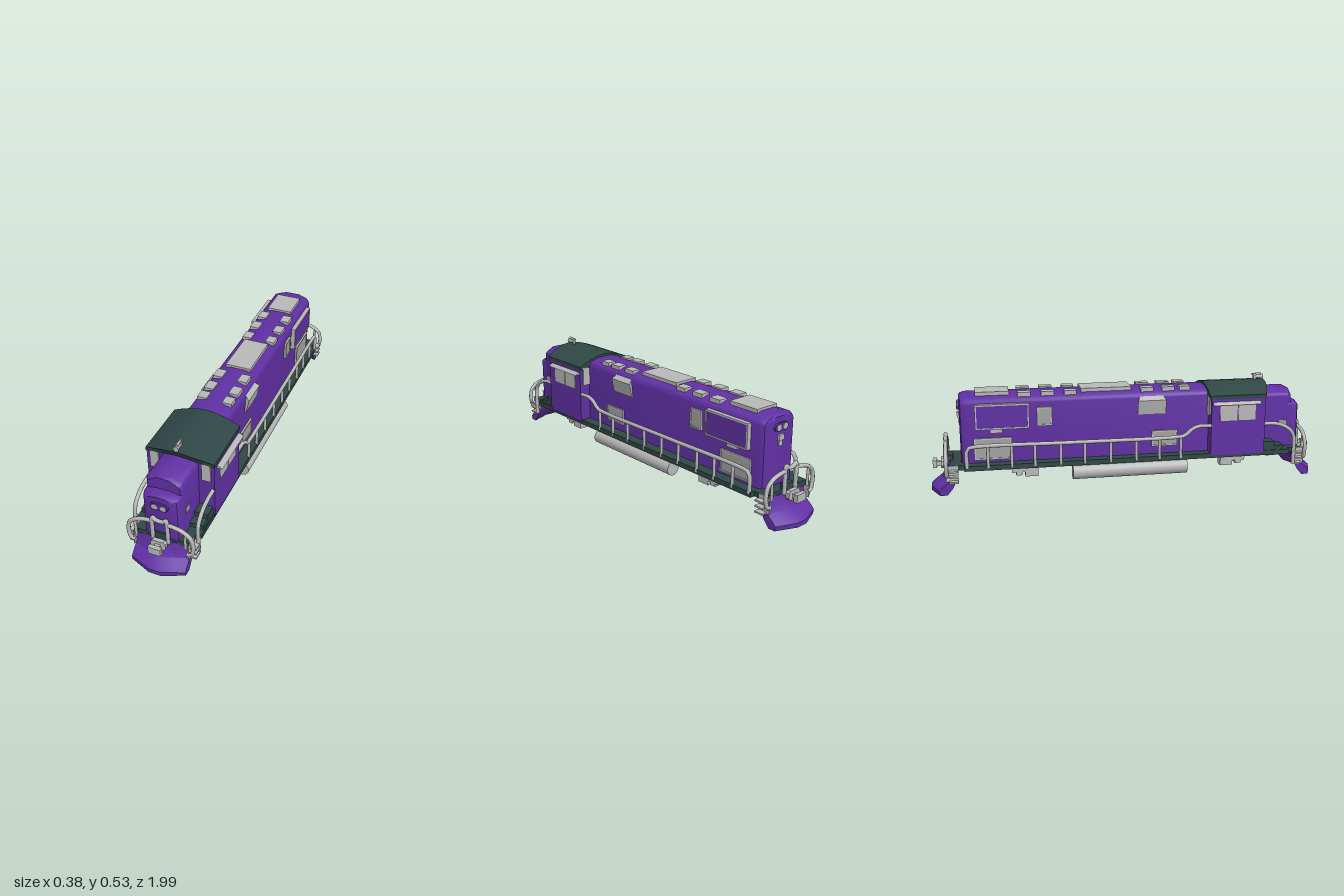
import * as THREE from 'three';
import { toCreasedNormals } from 'three/addons/utils/BufferGeometryUtils.js';

const mat = (name, color) => Object.assign(new THREE.MeshStandardMaterial({ color }), { name });

export function createModel() {
  const purple = mat('purple paint', 0x6030a4);
  const dark = mat('dark green paint', 0x2f4745);
  const grey = mat('light grey metal', 0xb8b8b8);
  const mesh = mat('grille grey', 0xa2a2a2);
  const root = new THREE.Group();

  const add = (name, geo, m, parent = root) => {
    const o = new THREE.Mesh(geo, m);
    o.name = name;
    parent.add(o);
    return o;
  };
  // Box given by its minimum and maximum on each axis
  const box = (name, x0, x1, y0, y1, z0, z1, m, parent = root) => {
    const g = new THREE.BoxGeometry(Math.abs(x1 - x0), y1 - y0, Math.abs(z1 - z0));
    g.translate((x0 + x1) / 2, (y0 + y1) / 2, (z0 + z1) / 2);
    return add(name, g, m, parent);
  };
  const tube = (name, pts, r, parent = root) => {
    const curve = new THREE.CatmullRomCurve3(pts.map(p => new THREE.Vector3(...p)), false, 'centripetal');
    return add(name, new THREE.TubeGeometry(curve, pts.length * 5, r, 8), grey, parent);
  };
  // Closed skin over equal-length rings of points, with capped ends
  const loft = (rings, crease = 0.6) => {
    const n = rings[0].length, pos = rings.flat(2), idx = [];
    for (let i = 0; i < rings.length - 1; i++) for (let j = 0; j < n; j++) {
      const a = i * n + j, b = i * n + (j + 1) % n;
      idx.push(a, b, b + n, a, b + n, a + n);
    }
    [0, rings.length - 1].forEach((r, end) => {
      const c = pos.length / 3;
      for (let k = 0; k < 3; k++) pos.push(rings[r].reduce((s, p) => s + p[k], 0) / n);
      for (let j = 0; j < n; j++) {
        const a = r * n + j, b = r * n + (j + 1) % n;
        end ? idx.push(c, a, b) : idx.push(c, b, a);
      }
    });
    const g = new THREE.BufferGeometry();
    g.setAttribute('position', new THREE.Float32BufferAttribute(pos, 3));
    g.setIndex(idx);
    return toCreasedNormals(g, crease);
  };
  // Hood section: straight sides, rounded shoulders, gently arched top
  const hoodRing = (w, y0, top, r, arch, z) => {
    const half = [[w, y0]];
    for (let i = 0; i <= 5; i++) {
      const a = i / 5 * 1.35;
      half.push([w - r + r * Math.cos(a), top - arch - r + r * Math.sin(a)]);
    }
    half.push([w * 0.4, top - arch * 0.15]);
    return [...half, ...half.slice().reverse().map(([x, y]) => [-x, y])].map(([x, y]) => [x, y, z]);
  };

  // Deck
  box('deck', -0.16, 0.16, 0.125, 0.15, -0.83, 0.83, dark);
  box('deckEnds', -0.135, 0.135, 0.125, 0.15, -0.9, 0.9, dark);
  box('cabStepUpper', -0.155, 0.155, 0.15, 0.195, 0.68, 0.75, dark);
  box('cabStepLower', -0.155, 0.155, 0.15, 0.172, 0.75, 0.8, dark);

  // Long hood with a rounded rear end
  add('longHood', loft([[-0.845, 0.075, 0.474], [-0.838, 0.094, 0.48], [-0.815, 0.106, 0.485], [0.42, 0.106, 0.485]]
    .map(([z, w, t]) => hoodRing(w, 0.15, t, 0.03, 0.012, z))), purple);

  // Short hood: full-height rear part and lower nose
  add('shortHood', loft([[0.68, 0.088, 0.46], [0.84, 0.088, 0.46], [0.858, 0.078, 0.452]]
    .map(([z, w, t]) => hoodRing(w, 0.15, t, 0.02, 0.022, z))), purple);
  add('nose', loft([[0.84, 0.087, 0.393], [0.878, 0.086, 0.39], [0.896, 0.079, 0.386], [0.904, 0.066, 0.38]]
    .map(([z, w, t]) => hoodRing(w, 0.15, t, 0.014, 0.01, z))), purple);

  // Cab walls under an arched roof
  const arch = x => 0.497 - 0.048 * Math.pow(Math.abs(x) / 0.167, 1.7);
  const xs = Array.from({ length: 13 }, (_, i) => 0.165 - i * 0.0275);
  const cabRing = z => [[-0.165, 0.14, z], [0.165, 0.14, z], ...xs.map(x => [x, arch(x) - 0.015, z])];
  add('cab', loft([cabRing(0.405), cabRing(0.69)]), purple);
  const roofRing = front => [
    ...xs.map(x => [x * 1.012, arch(x), x]),
    ...xs.slice().reverse().map(x => [x * 1.012, arch(x) - 0.018, x]),
  ].map(([x, y, u]) => [x, y, front ? 0.728 - 0.034 * (u / 0.165) ** 2 : 0.398]);
  add('cabRoof', loft([roofRing(false), roofRing(true)], 0.5), dark);

  // Horns on the cab roof
  const horn = (r, y, z, x) => {
    const g = new THREE.CylinderGeometry(r, r * 0.35, 0.05, 12).rotateX(Math.PI / 2);
    add('horn', g.translate(x, y, z), grey);
  };
  horn(0.014, 0.51, 0.7, 0);
  horn(0.008, 0.524, 0.69, 0);
  box('hornBase', -0.006, 0.006, 0.485, 0.525, 0.675, 0.69, grey);

  // Roof hatches and vents
  box('rearHatch', -0.065, 0.065, 0.47, 0.495, -0.765, -0.6, grey);
  box('middleHatch', -0.065, 0.065, 0.47, 0.495, -0.245, 0.01, grey);
  const vents = [[-0.56, -0.495], [-0.445, -0.38], [-0.33, -0.27], [0.055, 0.12], [0.165, 0.23], [0.255, 0.31]];

  // Twin headlights in an oval housing
  const headlights = (y, z, dir) => {
    const g = new THREE.Group();
    g.name = 'headlights';
    const oval = new THREE.Shape();
    oval.absarc(0.024, 0, 0.019, -Math.PI / 2, Math.PI / 2);
    oval.absarc(-0.024, 0, 0.019, Math.PI / 2, Math.PI * 1.5);
    add('headlightHousing', new THREE.ExtrudeGeometry(oval, { depth: 0.012, bevelEnabled: false }), purple, g);
    for (const s of [-1, 1])
      add('lamp', new THREE.CylinderGeometry(0.015, 0.015, 0.006, 8, 1, false, Math.PI / 8)
        .rotateX(Math.PI / 2).translate(s * 0.021, 0, 0.012), grey, g);
    g.position.set(0, y, z);
    if (dir < 0) g.rotation.y = Math.PI;
    root.add(g);
  };
  headlights(0.331, 0.9, 1);
  headlights(0.425, -0.842, -1);
  box('rearMarkerUpper', -0.017, 0.017, 0.362, 0.388, -0.856, -0.84, grey);
  box('rearMarkerLower', -0.011, 0.011, 0.335, 0.362, -0.852, -0.84, grey);

  // Everything repeated on the left and right
  for (const s of [-1, 1]) {
    for (const [a, b] of vents) box('roofVent', s * 0.04, s * 0.088, 0.465, 0.491, a, b, grey);

    // Cab windows and sunshade
    const pane = new THREE.Shape([[0.105, 0.345], [0.148, 0.345], [0.148, 0.443], [0.125, 0.443], [0.105, 0.435]]
      .map(([x, y]) => new THREE.Vector2(s * x, y)));
    for (const z of [0.398, 0.688])
      add('cabEndWindow', new THREE.ExtrudeGeometry(pane, { depth: 0.008, bevelEnabled: false }).translate(0, 0, z), grey);
    for (const [a, b] of [[0.545, 0.636], [0.45, 0.54]])
      box('cabSideWindow', s * 0.162, s * 0.169, 0.32, 0.405, a, b, grey);
    const shade = [[0.162, 0.418], [0.162, 0.405], [0.19, 0.405], [0.184, 0.412], [0.174, 0.418]];
    const shadeRing = z => (s > 0 ? shade : shade.slice().reverse()).map(([x, y]) => [s * x, y, z]);
    add('sunshade', loft([shadeRing(0.41), shadeRing(0.66)]), grey);

    // Wedge-shaped air scoop
    const scoop = [[0.1, 0.455], [0.1, 0.36], [0.112, 0.36], [0.127, 0.432]];
    const scoopRing = (z, inset) => (s > 0 ? scoop : scoop.slice().reverse())
      .map(([x, y]) => [s * x, y, z + (y > 0.45 ? inset : 0)]);
    add('airScoop', loft([scoopRing(0.035, 0.015), scoopRing(0.18, -0.015)]), grey);

    // Framed panels on the long hood: z range, y range, outer x, infill
    const panels = [
      ['radiatorPanel', -0.77, -0.508, 0.32, 0.445, 0.125, purple],
      ['sideGrille', -0.47, -0.395, 0.325, 0.42, 0.114, mesh],
      ['frontLowerGrille', 0.107, 0.24, 0.19, 0.272, 0.113, mesh],
      ['rearLowerGrille', -0.78, -0.595, 0.165, 0.275, 0.113, mesh],
    ];
    for (const [name, z0, z1, y0, y1, x, m] of panels) {
      const f = 0.008, xi = s * 0.1, xo = s * (x + 0.003);
      box(name, xi, s * x, y0 + 0.002, y1 - 0.002, z0 + 0.002, z1 - 0.002, m);
      box(name + 'Frame', xi, xo, y0, y0 + f, z0, z1, grey);
      box(name + 'Frame', xi, xo, y1 - f, y1, z0, z1, grey);
      box(name + 'Frame', xi, xo, y0, y1, z0, z0 + f, grey);
      box(name + 'Frame', xi, xo, y0, y1, z1 - f, z1, grey);
    }
    box('radiatorBracket', s * 0.1, s * 0.12, 0.3, 0.32, -0.7, -0.64, grey);
    box('noseGrille', s * 0.08, s * 0.092, 0.258, 0.29, 0.795, 0.835, mesh);

    // Side handrails and posts
    const X = s * 0.155;
    tube('sideHandrail', [[X, 0.295, 0.405], [X, 0.295, 0.34], [X, 0.28, 0.305], [X, 0.25, 0.27], [X, 0.244, 0.23],
      [X, 0.244, -0.3], [X, 0.244, -0.79], [X, 0.237, -0.81], [X, 0.22, -0.817], [X, 0.14, -0.817]], 0.01);
    for (const z of [0.25, 0.14, 0.02, -0.11, -0.24, -0.36, -0.487, -0.6, -0.715])
      add('railPost', new THREE.CylinderGeometry(0.008, 0.008, 0.11, 8).translate(X, 0.19, z), grey);
    tube('cabHandrail', [[X, 0.293, 0.69], [X, 0.29, 0.75], [X, 0.277, 0.795], [X, 0.25, 0.835],
      [X, 0.22, 0.853], [X, 0.07, 0.856]], 0.01);

    // Underframe tank and equipment boxes
    add('tank', new THREE.CylinderGeometry(0.037, 0.037, 0.585, 24).rotateX(Math.PI / 2)
      .translate(s * 0.132, 0.085, -0.008), grey);
    for (const e of [-1, 1]) {
      const xa = s * 0.075, xb = s * 0.125;
      box('underBoxTop', xa, xb, 0.095, 0.13, e * 0.47, e * 0.6, grey);
      box('underBoxBottom', xa, xb, 0.072, 0.1, e * 0.47, e * 0.535, grey);
      box('underBoxSide', xa, xb, 0.08, 0.1, e * 0.55, e * 0.58, grey);
    }
    box('smallUnderBox', s * 0.085, s * 0.115, 0.108, 0.13, 0.72, 0.77, grey);
  }

  // Identical end assemblies, the rear one turned around
  for (const dir of [1, -1]) {
    const end = new THREE.Group();
    end.name = dir > 0 ? 'frontEnd' : 'rearEnd';
    if (dir < 0) end.rotation.y = Math.PI;
    root.add(end);

    // Plow: curved profile swept back towards its sides
    const profile = [[0.915, 0.135], [0.925, 0.1], [0.945, 0.065], [0.978, 0.025], [1, 0.022], [1, 0],
      [0.965, 0], [0.935, 0.03], [0.9, 0.08], [0.885, 0.135]];
    profile[3] = [0.98, 0.04];
    add('plow', loft([-0.133, -0.08, -0.03, 0.03, 0.08, 0.133].map(x => profile.map(([z, y]) =>
      [x, y, z - Math.max(0, Math.abs(x) - 0.02) * 0.42 * (1 - y * 3)])), 0.4), purple, end);

    // Coupler
    const oct = new THREE.Shape([[-0.036, 0.122], [-0.026, 0.11], [0.026, 0.11], [0.036, 0.122],
      [0.036, 0.146], [0.026, 0.156], [-0.026, 0.156], [-0.036, 0.146]].map(p => new THREE.Vector2(...p)));
    add('couplerPlate', new THREE.ExtrudeGeometry(oct, { depth: 0.02, bevelEnabled: false }).translate(0, 0, 0.925), grey, end);
    box('couplerShank', -0.013, 0.013, 0.118, 0.14, 0.89, 0.965, grey, end);
    box('couplerKnuckle', -0.03, 0.03, 0.112, 0.15, 0.965, 0.985, grey, end);
    box('couplerPocket', -0.03, 0.03, 0.14, 0.176, 0.885, 0.91, dark, end);

    // End handrail with its raised centre
    const Z = 0.917;
    for (const s of [-1, 1]) {
      tube('endHandrail', [[s * 0.128, 0.098, Z], [s * 0.148, 0.105, Z], [s * 0.157, 0.135, Z], [s * 0.157, 0.17, Z],
        [s * 0.145, 0.205, Z], [s * 0.112, 0.23, Z], [s * 0.075, 0.241, Z], [s * 0.04, 0.245, Z]], 0.01, end);
      tube('endPost', [[s * 0.125, 0.225, Z], [s * 0.121, 0.18, Z], [s * 0.121, 0.13, Z]], 0.007, end);
      tube('endCentrePost', [[s * 0.037, 0.135, Z], [s * 0.037, 0.2, Z], [s * 0.037, 0.262, Z]], 0.01, end);

      // Corner steps
      box('stepPlate', s * 0.132, s * 0.137, 0.068, 0.15, 0.86, 0.92, grey, end);
      for (const y of [0.068, 0.095, 0.122])
        box('stepTread', s * 0.132, s * 0.165, y, y + 0.008, 0.86, 0.905, grey, end);
    }
    tube('endCentreRail', [[-0.037, 0.255, Z], [-0.032, 0.268, Z], [-0.02, 0.258, Z], [0, 0.254, Z],
      [0.02, 0.258, Z], [0.032, 0.268, Z], [0.037, 0.255, Z]], 0.01, end);
  }
  return root;
}
